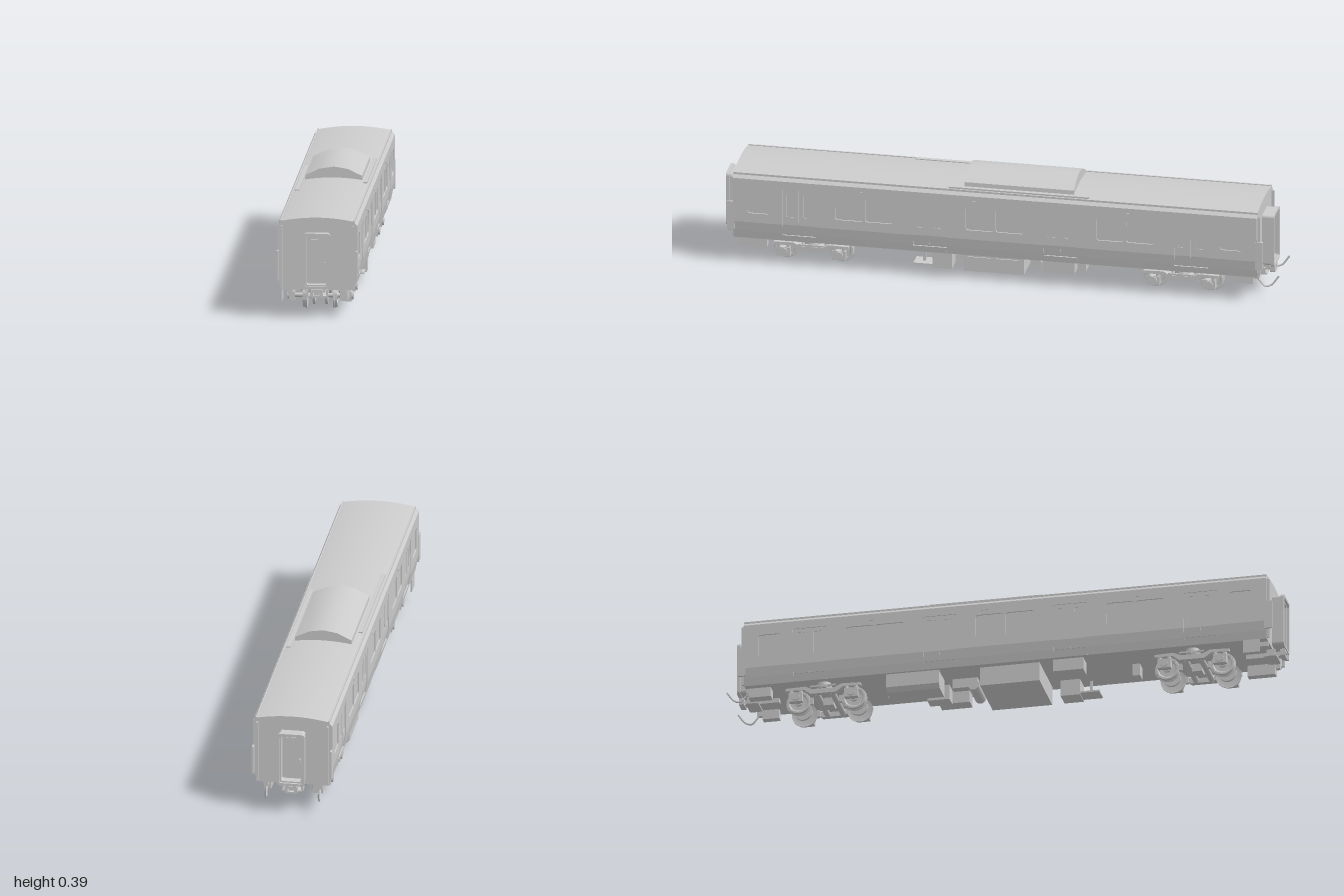
import * as THREE from 'three';
import { toCreasedNormals } from 'three/addons/utils/BufferGeometryUtils.js';

const grey = new THREE.MeshStandardMaterial({ color: 0xcccccc, side: THREE.DoubleSide });
const MID = 0.0125, HALF = 0.9425; // body centre along z and half length

function add(parent, name, geo, x = 0, y = 0, z = 0) {
  const m = new THREE.Mesh(geo, grey);
  m.name = name;
  m.position.set(x, y, z);
  parent.add(m);
  return m;
}
// Box given by its extents
function box(parent, name, x0, x1, y0, y1, z0, z1) {
  return add(parent, name, new THREE.BoxGeometry(x1 - x0, y1 - y0, z1 - z0),
    (x0 + x1) / 2, (y0 + y1) / 2, (z0 + z1) / 2);
}
// Cylinder lying across the track
function drum(parent, name, r, len, x, y, z, seg = 24) {
  return add(parent, name, new THREE.CylinderGeometry(r, r, len, seg).rotateZ(Math.PI / 2), x, y, z);
}
function group(parent, name) {
  const g = new THREE.Group();
  g.name = name;
  parent.add(g);
  return g;
}
function poly(pts) {
  return new THREE.Shape(pts.map(p => new THREE.Vector2(p[0], p[1])));
}
function roundRect(x0, x1, y0, y1, r, C = THREE.Shape) {
  const s = new C();
  s.absarc(x1 - r, y0 + r, r, -Math.PI / 2, 0);
  s.absarc(x1 - r, y1 - r, r, 0, Math.PI / 2);
  s.absarc(x0 + r, y1 - r, r, Math.PI / 2, Math.PI);
  s.absarc(x0 + r, y0 + r, r, Math.PI, Math.PI * 1.5);
  s.closePath();
  return s;
}
const extrude = (shape, depth, extra = {}) =>
  new THREE.ExtrudeGeometry(shape, { depth, bevelEnabled: false, curveSegments: 8, ...extra });

// Half width of the body at each height
const KNOTS = [[0.095, 0.129], [0.125, 0.135], [0.16, 0.141], [0.325, 0.142]];
function halfWidth(y) {
  for (let i = 1; i < KNOTS.length; i++) {
    const [y0, w0] = KNOTS[i - 1], [y1, w1] = KNOTS[i];
    if (y <= y1) return w0 + (w1 - w0) * (y - y0) / (y1 - y0);
  }
  return KNOTS[3][1];
}
// Side panel: a (z, y) shape given thickness and bent to follow the body side
function sidePanel(parent, name, shape, inset, thick) {
  const g = extrude(shape, thick).rotateY(Math.PI / 2), p = g.attributes.position;
  for (let i = 0; i < p.count; i++) p.setX(i, p.getX(i) + halfWidth(p.getY(i)) - inset);
  g.computeVertexNormals();
  return add(parent, name, g);
}
const rect = (a, b, c, d) => poly([[a, c], [b, c], [b, d], [a, d]]);

const DOORS = [-0.705, -0.235, 0.235, 0.705], DW = 0.06, DTOP = 0.295;

function buildSide(parent) {
  // Upper skin, notched for doors and pierced for windows
  const pts = [[-HALF, 0.16]];
  for (const d of DOORS) pts.push([d - DW, 0.16], [d - DW, DTOP], [d + DW, DTOP], [d + DW, 0.16]);
  pts.push([HALF, 0.16], [HALF, 0.325], [-HALF, 0.325]);
  const skin = poly(pts);
  const wins = [[-0.89, -0.81], [0.81, 0.89]];
  for (const c of [-0.47, 0, 0.47]) wins.push([c - 0.105, c - 0.003], [c + 0.003, c + 0.105]);
  for (const [a, b] of wins) skin.holes.push(roundRect(a, b, 0.195, 0.283, 0.01, THREE.Path));
  sidePanel(parent, 'sideSkin', skin, 0.005, 0.005);

  // Lower skin between the doors, in two tapering bands
  const edges = [-HALF, ...DOORS.flatMap(d => [d - DW, d + DW]), HALF];
  for (let i = 0; i < edges.length; i += 2) {
    sidePanel(parent, 'skirtUpper', rect(edges[i], edges[i + 1], 0.125, 0.16), 0.005, 0.005);
    sidePanel(parent, 'skirtLower', rect(edges[i], edges[i + 1], 0.095, 0.125), 0.005, 0.005);
  }
  // Sliding doors: two leaves with tall windows, sill below
  for (const d of DOORS) {
    for (const [a, b] of [[d - DW, d - 0.001], [d + 0.001, d + DW]]) {
      const leaf = rect(a, b, 0.16, DTOP);
      leaf.holes.push(roundRect(a + 0.014, b - 0.014, 0.19, 0.28, 0.006, THREE.Path));
      sidePanel(parent, 'doorLeaf', leaf, 0.005, 0.002);
      sidePanel(parent, 'doorLeafLower', rect(a, b, 0.125, 0.16), 0.005, 0.002);
    }
    sidePanel(parent, 'doorSill', rect(d - DW, d + DW, 0.095, 0.118), 0.005, 0.006);
  }
  // Gutter, roof rail, marker lamps, corner curtains
  box(parent, 'gutter', 0.126, 0.132, 0.336, 0.343, -HALF, HALF);
  box(parent, 'roofRail', 0.107, 0.122, 0.338, 0.347, -0.335, 0.17);
  for (const z of [-0.48, 0.48]) box(parent, 'sideLamp', 0.14, 0.146, 0.298, 0.308, z - 0.005, z + 0.005);
  box(parent, 'destinationLamp', 0.14, 0.144, 0.3, 0.308, 0.06, 0.085);
  for (const s of [-1, 1]) {
    box(parent, 'cornerCurtain', 0.136, 0.143, 0.13, 0.235, s * 0.95 - 0.014, s * 0.95 + 0.014);
    box(parent, 'cornerPost', 0.123, 0.13, 0.1, 0.325, s * 0.944 - 0.008, s * 0.944 + 0.008);
  }
}

// Gangway facing +z, starting at z = 0
function buildGangway(parent) {
  const frame = (w, y0, y1, t, r) => {
    const s = roundRect(-w, w, y0, y1, r);
    s.holes.push(roundRect(-w + t, w - t, y0 + t, y1 - t, r * 0.7, THREE.Path));
    return s;
  };
  add(parent, 'gangwayBellows', extrude(frame(0.046, 0.108, 0.3, 0.01, 0.01), 0.036));
  add(parent, 'gangwayFace', extrude(frame(0.05, 0.104, 0.303, 0.009, 0.012), 0.012), 0, 0, 0.032);
  box(parent, 'endDoor', -0.036, 0.036, 0.118, 0.29, 0, 0.006);
  box(parent, 'endDoorWindow', -0.022, 0.022, 0.2, 0.275, 0.005, 0.009);
  box(parent, 'doorHandle', 0.024, 0.03, 0.18, 0.195, 0.005, 0.012);
  // Coupler and its carrier
  box(parent, 'couplerCarrier', -0.035, 0.035, 0.07, 0.076, -0.03, 0.015);
  box(parent, 'couplerShank', -0.01, 0.01, 0.078, 0.096, -0.1, 0.03);
  const head = roundRect(-0.022, 0.022, 0.074, 0.102, 0.004);
  head.holes.push(roundRect(-0.012, 0.012, 0.081, 0.093, 0.002, THREE.Path));
  add(parent, 'couplerHead', extrude(head, 0.018), 0, 0, 0.024);
  for (const s of [-1, 1]) {
    box(parent, 'couplerHanger', s * 0.035 - 0.003, s * 0.035 + 0.003, 0.07, 0.096, -0.02, 0.01);
    box(parent, 'endStep', s * 0.096 - 0.008, s * 0.096 + 0.008, 0.078, 0.096, -0.03, 0);
  }
}

function buildBogie(parent) {
  const tread = [[0.006, -0.007], [0.036, -0.006], [0.046, -0.008], [0.046, -0.004],
    [0.043, -0.003], [0.042, 0.007], [0.034, 0.006], [0.03, 0.002], [0.014, 0.002], [0.012, 0.007], [0.006, 0.007]];
  const lathe = new THREE.LatheGeometry(tread.map(p => new THREE.Vector2(...p)), 32);
  for (const z of [-0.1, 0.1]) {
    drum(parent, 'axle', 0.008, 0.21, 0, 0.046, z, 16);
    for (const s of [-1, 1]) {
      add(parent, 'wheel', toCreasedNormals(lathe.clone().rotateZ(-s * Math.PI / 2), 0.5), s * 0.054, 0.046, z);
      drum(parent, 'brakeDisc', 0.032, 0.009, s * 0.022, 0.046, z);
      box(parent, 'axleBox', s * 0.1 - 0.01, s * 0.1 + 0.01, 0.028, 0.062, z - 0.024, z + 0.024);
      drum(parent, 'axleCap', 0.015, 0.01, s * 0.111, 0.046, z, 16);
      for (const d of [-0.017, 0.017])
        add(parent, 'axleSpring', new THREE.CylinderGeometry(0.008, 0.008, 0.02, 12), s * 0.1, 0.068, z + d);
      box(parent, 'brakeShoe', s * 0.054 - 0.007, s * 0.054 + 0.007, 0.035, 0.06, z * 0.52 - 0.006, z * 0.52 + 0.006);
    }
  }
  const side = poly([[-0.135, 0.07], [-0.07, 0.07], [-0.045, 0.052], [0.045, 0.052], [0.07, 0.07], [0.135, 0.07],
    [0.135, 0.08], [0.065, 0.082], [0.04, 0.07], [-0.04, 0.07], [-0.065, 0.082], [-0.135, 0.08]]);
  for (const s of [-1, 1]) {
    add(parent, 'bogieSideFrame', extrude(side, 0.018).rotateY(Math.PI / 2), s * 0.1 - 0.009);
    add(parent, 'airSpring', new THREE.CylinderGeometry(0.024, 0.026, 0.024, 20), s * 0.088, 0.083, 0);
    drum(parent, 'crossTube', 0.011, 0.19, 0, 0.062, s * 0.028, 16);
    box(parent, 'damper', s * 0.113 - 0.003, s * 0.113 + 0.003, 0.074, 0.08, -0.045, 0.045);
  }
  box(parent, 'bolster', -0.08, 0.08, 0.074, 0.096, -0.022, 0.022);
  box(parent, 'centrePivot', -0.02, 0.02, 0.045, 0.08, -0.018, 0.018);
}

export function createModel() {
  const car = new THREE.Group();
  car.name = 'railCar';

  // Body core, roof and roof unit
  const body = group(car, 'body');
  body.position.z = MID;
  const half = KNOTS.map(([y, w]) => [w - 0.005, y]);
  const core = poly([...half, ...half.slice().reverse().map(([x, y]) => [-x, y])]);
  add(body, 'bodyCore', extrude(core, 2 * HALF), 0, 0, -HALF);
  const roof = new THREE.Shape();
  roof.moveTo(-0.142, 0.324);
  roof.lineTo(0.142, 0.324);
  roof.lineTo(0.128, 0.34);
  roof.quadraticCurveTo(0, 0.366, -0.128, 0.34);
  roof.closePath();
  add(body, 'roof', toCreasedNormals(extrude(roof, 2 * HALF, { curveSegments: 20 }), 0.4), 0, 0, -HALF);
  const unit = poly([[-0.102, 0.335], [0.102, 0.335], [0.1, 0.36], [0.05, 0.384], [0, 0.392], [-0.05, 0.384], [-0.1, 0.36]]);
  add(car, 'roofUnit', toCreasedNormals(extrude(unit, 0.393), 0.5), 0, 0, -0.264);

  // The second side is the first turned half round
  for (const a of [0, Math.PI]) {
    const side = group(body, a ? 'rightSide' : 'leftSide');
    side.rotation.y = a;
    buildSide(side);
    const end = group(body, a ? 'rearEnd' : 'frontEnd');
    end.rotation.y = a;
    const g = group(end, 'gangway');
    g.position.z = HALF;
    buildGangway(g);
  }
  for (const z of [0.68, -0.65]) {
    const b = group(car, z > 0 ? 'frontBogie' : 'rearBogie');
    b.position.z = z;
    buildBogie(b);
  }

  // Underfloor equipment
  const under = group(car, 'underfloor');
  box(under, 'mainEquipmentBox', -0.106, 0.106, 0.025, 0.096, -0.085, 0.13);
  for (const z of [-0.03, 0.075]) box(under, 'boxCover', 0.1, 0.11, 0.038, 0.08, z - 0.04, z + 0.045);
  box(under, 'sideCabinet', 0.06, 0.125, 0.035, 0.096, 0.17, 0.24);
  box(under, 'sideCabinet', -0.115, -0.06, 0.05, 0.096, 0.18, 0.29);
  box(under, 'pipeRack', 0.06, 0.12, 0.04, 0.046, 0.24, 0.31);
  box(under, 'pipeRackHanger', 0.085, 0.095, 0.04, 0.096, 0.27, 0.28);
  const rear = poly([[-0.12, 0.096], [-0.12, 0.045], [-0.105, 0.03], [-0.03, 0.03], [-0.03, 0.096]]);
  add(under, 'rearEquipmentBox', extrude(rear, 0.19), 0, 0, -0.42);
  box(under, 'relayBox', 0.07, 0.12, 0.05, 0.096, -0.27, -0.16);
  box(under, 'valveBox', 0.01, 0.06, 0.04, 0.096, -0.3, -0.22);
  drum(under, 'airTank', 0.02, 0.12, 0.03, 0.068, -0.125, 20);
  box(under, 'tankBracket', -0.03, 0.0, 0.06, 0.096, -0.2, -0.11);
  for (const z of [0.46, -0.42]) box(under, 'junctionBox', -0.02, 0.02, 0.05, 0.096, z - 0.014, z + 0.014);
  box(under, 'frontBox', 0.08, 0.106, 0.054, 0.096, 0.84, 0.94);
  box(under, 'frontBox', -0.13, -0.126, 0.047, 0.096, 0.87, 0.93);
  box(under, 'rearBox', -0.106, -0.07, 0.06, 0.096, -0.92, -0.84);
  box(under, 'rearBox', 0.08, 0.106, 0.06, 0.096, -0.91, -0.85);

  // Hanging jumper cables at the rear
  for (const x of [-0.095, 0.095]) {
    const path = new THREE.CatmullRomCurve3([[0.09, -0.91], [0.072, -0.93], [0.05, -0.95], [0.055, -0.972], [0.088, -0.998]]
      .map(([y, z], i) => new THREE.Vector3(x - i * 0.002, y, z)));
    add(under, 'jumperCable', new THREE.TubeGeometry(path, 24, 0.0035, 8));
  }
  return car;
}
